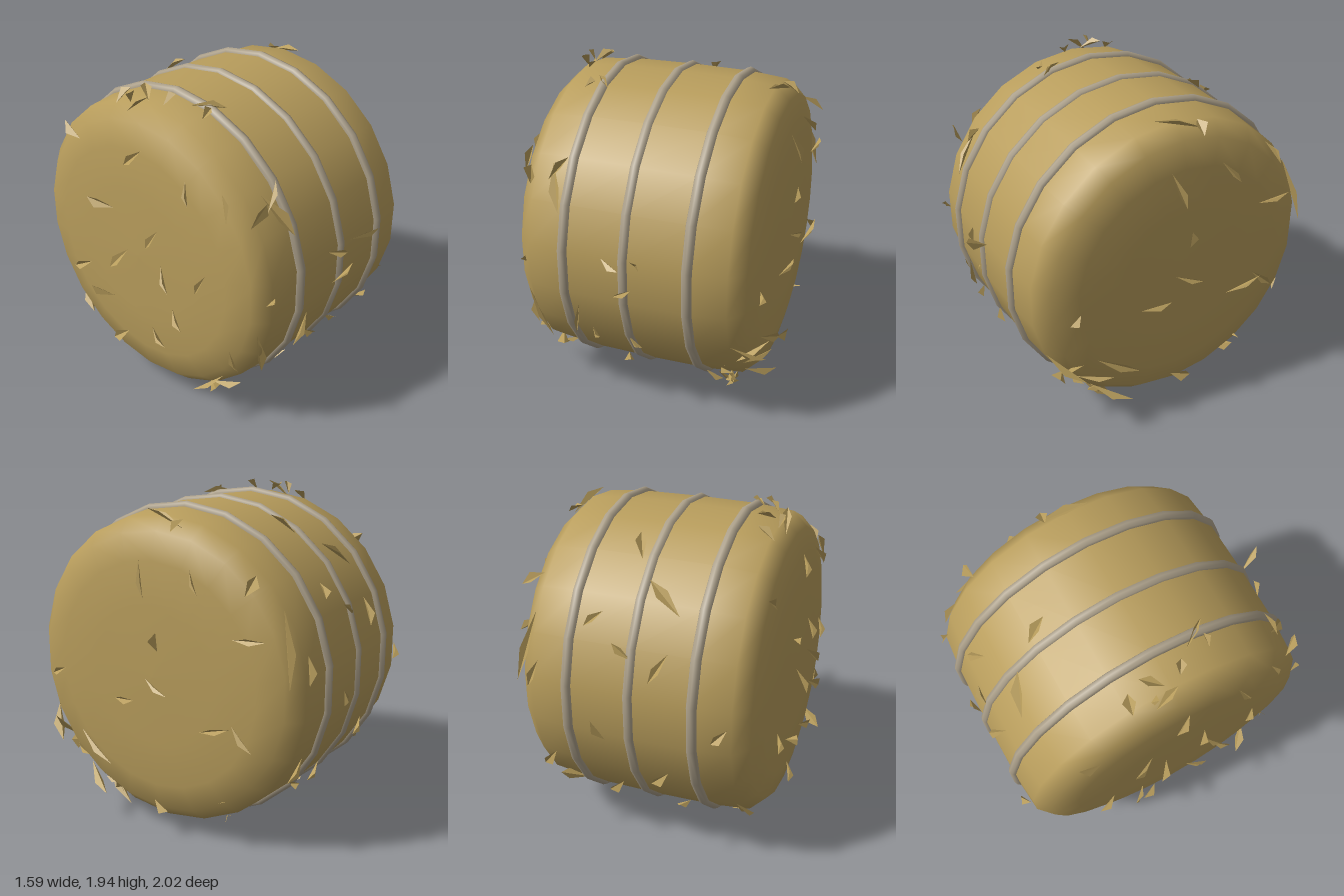
import * as THREE from 'three';

const CX = 0.01, CY = 0.97, CZ = -0.07, SIDES = 22;

// half profile of the bale: [distance from the middle, radius]
const PROFILE = [[0, 0.92], [0.36, 0.915], [0.58, 0.895], [0.665, 0.815], [0.7, 0.66], [0.715, 0.4], [0.72, 0]];

const hay = new THREE.MeshStandardMaterial({ color: 0xb89d5c });
hay.name = 'hay';
const twine = new THREE.MeshStandardMaterial({ color: 0xaca08a });
twine.name = 'twine';
const straw = new THREE.MeshStandardMaterial({ color: 0xb89d5c, side: THREE.DoubleSide });
straw.name = 'straw';

// read the profile: from = 0 gives radius at a distance, from = 1 the reverse
function readProfile(v, from) {
  const to = 1 - from;
  for (let i = 0; i < PROFILE.length - 1; i++) {
    const a = PROFILE[i], b = PROFILE[i + 1];
    const t = (v - a[from]) / (b[from] - a[from]);
    if (t >= 0 && t <= 1) return a[to] + (b[to] - a[to]) * t;
  }
  return from ? 0.36 : 0.8;
}

// put (a, b) on the bale surface as seen from one side; returns point and normal
function onSide(view) {
  return (a, b) => {
    const r = readProfile(Math.min(Math.abs(a - CX), 0.67), 0);
    const flat = view === 'front' || view === 'back';
    const u = flat ? b - CY : b - CZ;
    const s = view === 'front' || view === 'top' ? 1 : -1;
    const d = s * Math.sqrt(Math.max(0, r * r - u * u));
    const n = flat ? new THREE.Vector3(0, u, d) : new THREE.Vector3(0, d, u);
    return { p: n.clone().add(new THREE.Vector3(a, CY, CZ)), n: n.normalize() };
  };
}
function onEnd(s) {
  return (z, y) => {
    const x = readProfile(Math.hypot(z - CZ, y - CY), 1);
    return { p: new THREE.Vector3(CX + s * x, y, z), n: new THREE.Vector3(s, 0, 0) };
  };
}

// a patch of loose straws, each a folded kite: [from a, b, to a, b, lift, width]
function straws(name, place, list) {
  const pos = [];
  for (const [a0, b0, a1, b1, lift, width] of list) {
    const from = place(a0, b0), to = place(a1, b1);
    const base = from.p.addScaledVector(from.n, 0.004);
    const tip = to.p.addScaledVector(to.n, lift);
    const across = tip.clone().sub(base).cross(to.n).normalize().multiplyScalar(width / 2);
    const mid = base.clone().lerp(tip, 0.55).addScaledVector(to.n, 0.02);
    const l = mid.clone().add(across), r = mid.clone().sub(across).addScaledVector(to.n, 0.015);
    for (const v of [base, l, tip, base, tip, r]) pos.push(v.x, v.y, v.z);
  }
  const g = new THREE.BufferGeometry();
  g.setAttribute('position', new THREE.Float32BufferAttribute(pos, 3));
  g.computeVertexNormals();
  const m = new THREE.Mesh(g, straw);
  m.name = name;
  return m;
}

export function createModel() {
  const group = new THREE.Group();
  group.name = 'hayBale';

  // rolled bale lying on its side, axis along x
  const half = PROFILE.slice(1);
  const points = [
    ...half.map(([d, r]) => new THREE.Vector2(r, -d)).reverse(),
    new THREE.Vector2(PROFILE[0][1], 0),
    ...half.map(([d, r]) => new THREE.Vector2(r, d)),
  ];
  const body = new THREE.Mesh(
    new THREE.LatheGeometry(points, SIDES, Math.PI / 2).rotateZ(-Math.PI / 2), hay);
  body.name = 'baleBody';
  body.position.set(CX, CY, CZ);
  group.add(body);

  // three twine bands
  for (const x of [-0.355, 0.005, 0.37]) {
    const band = new THREE.Mesh(
      new THREE.TorusGeometry(0.908, 0.032, 8, SIDES).rotateZ(Math.PI / 2).rotateY(Math.PI / 2), twine);
    band.name = 'twineBand';
    band.position.set(x, CY, CZ);
    group.add(band);
  }

  // loose straws on the two ends, placed by z and y
  group.add(straws('leftEndStraws', onEnd(1), [
    [0.02, 1.63, -0.05, 1.42, 0.05, 0.04], [-0.31, 1.61, -0.4, 1.49, 0.06, 0.03],
    [-0.58, 1.27, -0.79, 1.29, 0.05, 0.04], [-0.11, 1.13, -0.11, 1.24, 0.02, 0.07],
    [-0.02, 0.96, -0.19, 0.89, 0.04, 0.04], [0.2, 0.8, 0.03, 0.83, 0.05, 0.05],
    [0.58, 0.91, 0.66, 0.87, 0.04, 0.04], [-0.38, 0.71, -0.6, 0.79, 0.06, 0.04],
    [-0.58, 0.79, -0.72, 0.66, 0.04, 0.05], [0.48, 0.54, 0.22, 0.39, 0.05, 0.06],
    [0.58, 0.41, 0.39, 0.41, 0.06, 0.05], [0.62, 0.39, 0.61, 0.62, 0.1, 0.06],
    [-0.54, 0.18, -0.51, 0.32, 0.06, 0.08], [-0.04, 0.2, -0.16, 0.17, 0.05, 0.09],
    [-0.76, 0.36, -0.88, 0.44, 0.12, 0.06], [0.36, 0.18, 0.34, 0.03, 0.1, 0.07],
  ]));
  group.add(straws('rightEndStraws', onEnd(-1), [
    [-0.55, 1.55, -0.68, 1.63, 0.14, 0.06], [0.3, 1.58, 0.36, 1.46, 0.04, 0.04],
    [-0.25, 1.22, -0.4, 1.27, 0.08, 0.06], [0.1, 1.2, 0.05, 1.09, 0.05, 0.05],
    [-0.15, 0.98, -0.22, 0.87, 0.09, 0.06], [0.12, 0.98, 0.22, 0.86, 0.06, 0.05],
    [0.45, 1.05, 0.4, 0.93, 0.03, 0.04], [0.2, 0.72, 0.31, 0.64, 0.06, 0.07],
    [-0.3, 0.58, -0.4, 0.66, 0.1, 0.06], [-0.5, 0.74, -0.62, 0.68, 0.05, 0.05],
    [0.02, 0.5, 0.16, 0.44, 0.05, 0.06], [-0.2, 0.36, -0.3, 0.28, 0.06, 0.07],
    [0.6, 0.6, 0.64, 0.45, 0.05, 0.05], [-0.02, 1.65, -0.12, 1.55, 0.04, 0.05],
  ]));

  // loose straws around the roll, placed by x and y
  group.add(straws('frontStraws', onSide('front'), [
    [-0.68, 1.42, -0.65, 1.55, 0.03, 0.04], [-0.48, 1.45, -0.37, 1.56, 0.04, 0.04],
    [-0.6, 0.97, -0.58, 1.03, 0.03, 0.03], [-0.12, 1.1, 0, 1.06, 0.05, 0.05],
    [0.08, 1.09, 0.15, 1.16, 0.165, 0.07], [-0.06, 0.87, 0.07, 0.96, 0.04, 0.04],
    [-0.62, 0.77, -0.51, 0.45, 0.05, 0.05], [-0.27, 0.77, -0.32, 0.55, 0.04, 0.03],
    [-0.22, 0.59, -0.16, 0.57, 0.05, 0.07], [0, 0.57, 0.09, 0.53, 0.04, 0.05],
    [-0.6, 0.24, -0.52, 0.3, 0.05, 0.07], [0.51, 0.37, 0.6, 0.42, 0.05, 0.1],
    [0.46, 0.26, 0.53, 0.12, 0.1, 0.06], [0.62, 0.3, 0.76, 0.24, 0.06, 0.05],
    [0.38, 0.25, 0.48, 0.21, 0.05, 0.05], [0.6, 0.62, 0.77, 0.48, 0.03, 0.07],
    [-0.6, 1.4, -0.55, 1.49, 0.11, 0.08], [-0.62, 0.35, -0.76, 0.31, 0.05, 0.07],
  ]));
  group.add(straws('backStraws', onSide('back'), [
    [0.2, 1.5, 0.28, 1.42, 0.04, 0.05], [-0.2, 1.35, -0.12, 1.2, 0.04, 0.05],
    [0.55, 1.2, 0.6, 1.05, 0.03, 0.05], [-0.55, 1.0, -0.47, 0.92, 0.03, 0.05],
    [0.15, 0.8, 0.22, 0.92, 0.02, 0.04], [-0.2, 0.62, -0.1, 0.55, 0.04, 0.06],
    [0.5, 0.6, 0.6, 0.5, 0.05, 0.06], [0.12, 0.42, 0.22, 0.36, 0.05, 0.06],
    [-0.55, 0.4, -0.62, 0.3, 0.06, 0.06], [0.62, 1.6, 0.76, 1.5, 0.03, 0.07],
  ]));

  // loose straws above and below, placed by x and z
  group.add(straws('topStraws', onSide('top'), [
    [0, -0.93, 0.11, -0.9, 0.03, 0.04], [-0.23, -0.8, -0.03, -0.69, 0.03, 0.07],
    [0.06, -0.59, 0.12, -0.45, 0.03, 0.06], [-0.59, -0.31, -0.49, -0.28, 0.04, 0.07],
    [-0.62, -0.19, -0.59, -0.05, 0.08, 0.05], [-0.53, 0, -0.47, 0.03, 0.06, 0.06],
    [-0.42, 0.1, -0.3, 0.25, 0.03, 0.03], [-0.46, 0.22, -0.39, 0.21, 0.04, 0.05],
    [0.64, -0.23, 0.58, 0.05, 0.03, 0.05], [0.6, -0.2, 0.7, -0.18, 0.04, 0.07],
    [-0.47, 0.64, -0.38, 0.78, 0.03, 0.07], [-0.58, -0.2, -0.61, -0.16, 0.1, 0.05],
    [-0.54, -0.1, -0.46, -0.2, 0.06, 0.06], [0.6, -0.82, 0.7, -0.86, 0.06, 0.06],
  ]));
  group.add(straws('bottomStraws', onSide('bottom'), [
    [-0.32, 0.05, -0.2, -0.05, 0.04, 0.06], [0.5, 0.32, 0.53, 0.42, 0.06, 0.06],
    [-0.5, -0.3, -0.42, -0.4, 0.04, 0.06], [0.15, -0.35, 0.25, -0.28, 0.03, 0.06],
    [0.55, -0.45, 0.66, -0.5, 0.05, 0.06], [-0.15, 0.4, -0.08, 0.52, 0.04, 0.06],
    [-0.52, 0.32, -0.6, 0.4, 0.06, 0.07], [0.2, 0.1, 0.28, 0.18, 0.03, 0.05],
    [-0.2, -0.55, -0.1, -0.5, 0.05, 0.06],
  ]));
  return group;
}
